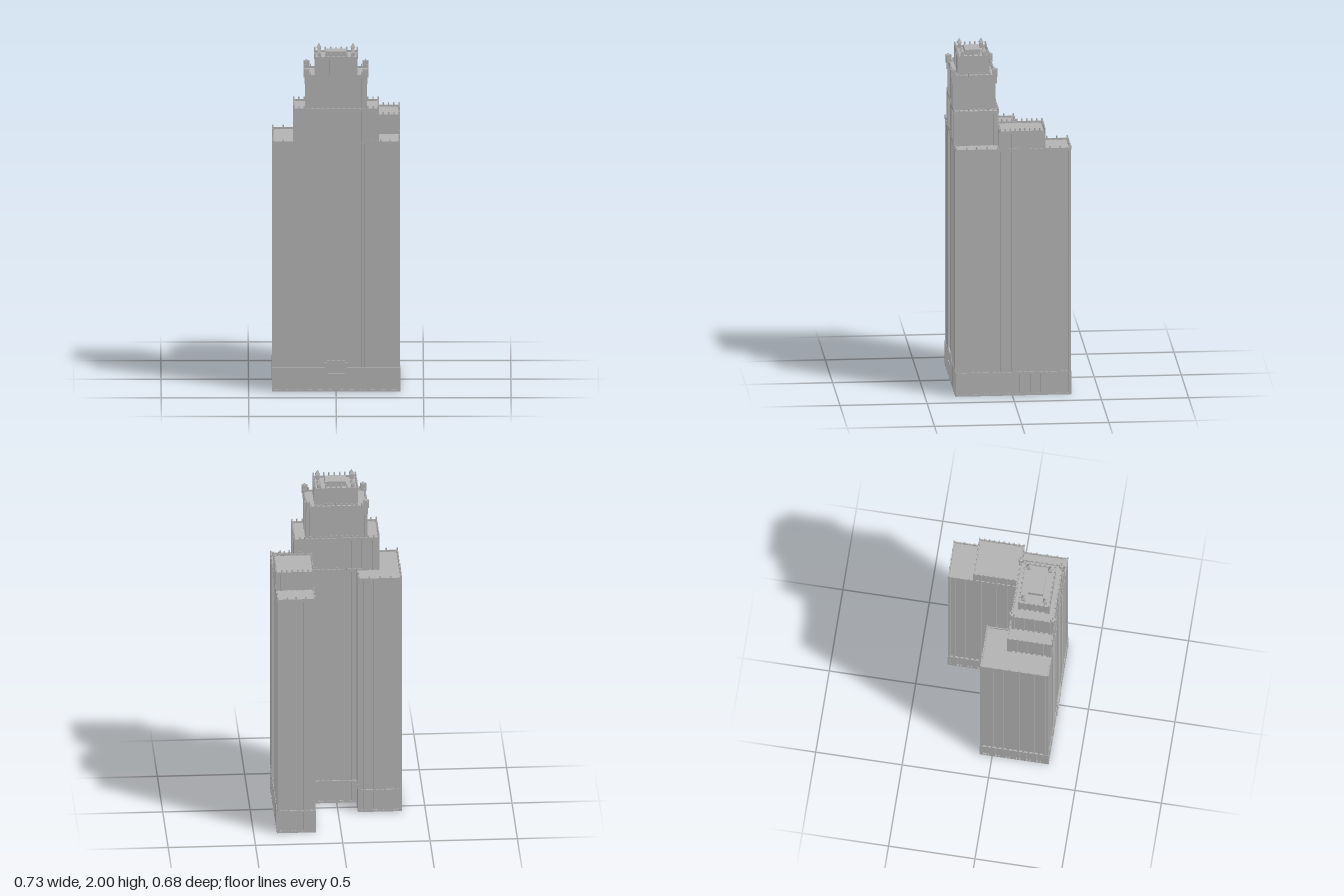
import * as THREE from 'three';
import { mergeGeometries } from 'three/addons/utils/BufferGeometryUtils.js';

const stone = new THREE.MeshStandardMaterial({ color: 0xb2b2b2 });
stone.name = 'grey stone';

// Box given by its limits
function box(x0, x1, y0, y1, z0, z1) {
  return new THREE.BoxGeometry(x1 - x0, y1 - y0, z1 - z0)
    .translate((x0 + x1) / 2, (y0 + y1) / 2, (z0 + z1) / 2);
}

function pyramid(x, y, z, width, height) {
  return new THREE.ConeGeometry(width / Math.SQRT2, height, 4).toNonIndexed()
    .rotateY(Math.PI / 4).translate(x, y + height / 2, z);
}

function addMesh(group, name, parts) {
  const flat = parts.map(g => (g.index ? g.toNonIndexed() : g));
  const geometry = mergeGeometries(flat);
  geometry.computeVertexNormals();
  const mesh = new THREE.Mesh(geometry, stone);
  mesh.name = name;
  group.add(mesh);
}

// Piers standing along all four walls, on a grid shared by every block
function piers(x0, x1, z0, z1, y0, y1, pitch, width, depth, out) {
  const parts = [];
  const h = width / 2;
  for (let i = Math.ceil((x0 + h) / pitch); i * pitch <= x1 - h; i++) {
    const x = i * pitch;
    parts.push(box(x - h, x + h, y0, y1, z1 - depth, z1 + out));
    parts.push(box(x - h, x + h, y0, y1, z0 - out, z0 + depth));
  }
  for (let i = Math.ceil((z0 + h) / pitch); i * pitch <= z1 - h; i++) {
    const z = i * pitch;
    parts.push(box(x1 - depth, x1 + out, y0, y1, z - h, z + h));
    parts.push(box(x0 - out, x0 + depth, y0, y1, z - h, z + h));
  }
  for (const x of [x0, x1]) for (const z of [z0, z1]) {
    const a = x === x0 ? x0 - out : x1 - 0.016;
    const b = z === z0 ? z0 - out : z1 - 0.016;
    parts.push(box(a, a + 0.016 + out, y0, y1, b, b + 0.016 + out));
  }
  return parts;
}

// Thin parapet with small merlons
function parapet(x0, x1, z0, z1, y, pitch, merlonHeight) {
  const t = 0.006, low = y - 0.016;
  const parts = [
    box(x0, x1, low, y, z1 - t, z1), box(x0, x1, low, y, z0, z0 + t),
    box(x0, x0 + t, low, y, z0, z1), box(x1 - t, x1, low, y, z0, z1),
  ];
  const m = 0.004;
  const merlon = (x, z) => parts.push(box(x - m, x + m, y - 0.012, y + merlonHeight, z - m, z + m));
  const nx = Math.round((x1 - x0) / pitch), nz = Math.round((z1 - z0) / pitch);
  const e = 0.003;
  for (let i = 0; i <= nx; i++) {
    const x = x0 + e + (x1 - x0 - 2 * e) * i / nx;
    merlon(x, z0 + e);
    merlon(x, z1 - e);
  }
  for (let i = 1; i < nz; i++) {
    const z = z0 + e + (z1 - z0 - 2 * e) * i / nz;
    merlon(x0 + e, z);
    merlon(x1 - e, z);
  }
  return parts;
}

// One stage of the tower: recessed wall, piers, parapet
function stage(root, name, [x0, x1, z0, z1], y0, y1, merlonPitch, merlonHeight) {
  const group = new THREE.Group();
  group.name = name;
  const d = 0.007;
  addMesh(group, name + 'Wall', [box(x0 + d, x1 - d, y0, y1 - 0.01, z0 + d, z1 - d)]);
  addMesh(group, name + 'Piers', piers(x0, x1, z0, z1, y0, y1 - 0.006, 0.03, 0.012, d + 0.002, 0));
  addMesh(group, name + 'Parapet', parapet(x0, x1, z0, z1, y1, merlonPitch, merlonHeight));
  // Ground storey with broad piers and a belt course
  if (y0 === 0) {
    const o = 0.002;
    addMesh(group, name + 'Base', [
      ...piers(x0, x1, z0, z1, 0, 0.135, 0.06, 0.034, 0.01, o),
      box(x0 - o, x1 + o, 0.128, 0.138, z0 - o, z1 + o),
      box(x0 - o, x1 + o, 0, 0.012, z0 - o, z1 + o),
    ]);
  }
  root.add(group);
}

export function createModel() {
  const root = new THREE.Group();
  root.name = 'tower';

  // Lower masses around the rear court
  stage(root, 'shortWing', [-0.365, -0.115, -0.07, 0.325], 0, 1.46, 0.06, 0.014);
  stage(root, 'longWing', [0.145, 0.365, -0.337, 0.325], 0, 1.46, 0.06, 0.014);
  stage(root, 'centralBlock', [-0.18, 0.18, 0.068, 0.325], 0, 1.46, 0.06, 0.014);

  // Upper setbacks
  stage(root, 'wingSetback', [0.145, 0.365, -0.19, 0.073], 1.44, 1.565, 0.03, 0.015);
  stage(root, 'firstSetback', [-0.245, 0.245, 0.068, 0.325], 1.44, 1.655, 0.03, 0.014);
  stage(root, 'secondSetback', [-0.178, 0.178, 0.082, 0.325], 1.64, 1.85, 0.03, 0.014);
  stage(root, 'crown', [-0.124, 0.124, 0.112, 0.293], 1.83, 1.95, 0.03, 0.02);

  // Cross-shaped turrets on the corners of the second setback
  const turrets = [], pinnacles = [];
  for (const x of [-0.168, 0.168]) for (const z of [0.084, 0.321]) {
    turrets.push(
      box(x - 0.011, x + 0.011, 1.8, 1.878, z - 0.011, z + 0.011),
      box(x - 0.017, x + 0.017, 1.835, 1.885, z - 0.006, z + 0.006),
      box(x - 0.006, x + 0.006, 1.835, 1.885, z - 0.016, z + 0.016),
      pyramid(x, 1.878, z, 0.02, 0.016));
  }
  addMesh(root, 'cornerTurrets', turrets);

  // Pointed pinnacles and penthouse on the crown
  for (const x of [-0.097, 0.097]) for (const z of [0.14, 0.265]) {
    pinnacles.push(box(x - 0.01, x + 0.01, 1.93, 1.973, z - 0.01, z + 0.01),
      pyramid(x, 1.97, z, 0.028, 0.03));
  }
  addMesh(root, 'pinnacles', pinnacles);
  addMesh(root, 'penthouse', [box(-0.06, 0.06, 1.93, 1.97, 0.158, 0.246)]);

  // Front entrance: surround, door posts and canopies
  const entrance = [box(-0.06, 0.06, 0.1, 0.17, 0.31, 0.328),
    box(-0.052, 0.052, 0.17, 0.178, 0.31, 0.334),
    box(-0.05, 0.05, 0.096, 0.104, 0.31, 0.334)];
  for (const x of [-0.06, -0.02, 0.02, 0.06]) {
    entrance.push(box(x - 0.005, x + 0.005, 0, 0.17, 0.31, 0.33));
  }
  addMesh(root, 'entrance', entrance);

  return root;
}
